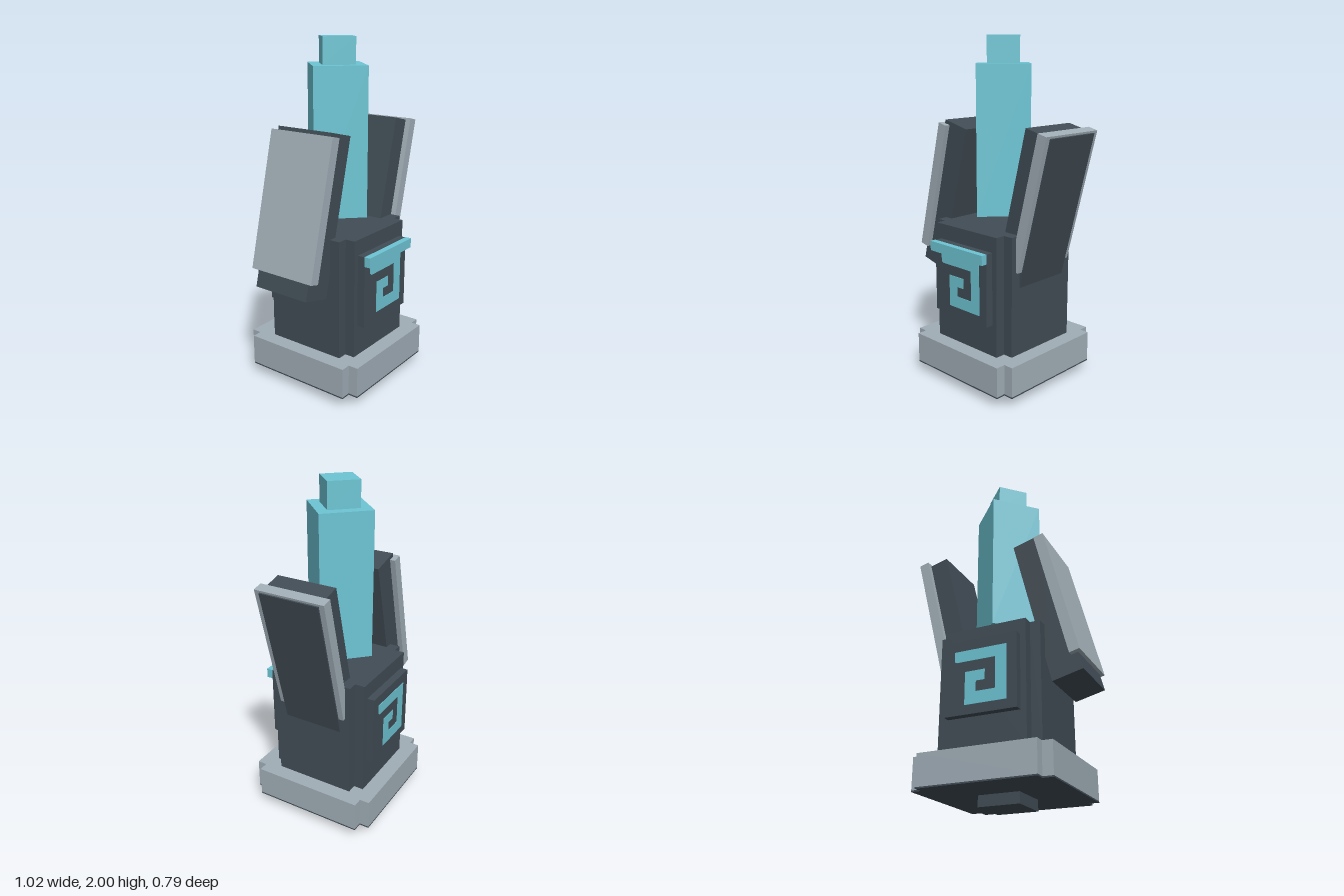
import * as THREE from 'three';

const material = (name, color) => {
  const m = new THREE.MeshStandardMaterial({ color });
  m.name = name;
  return m;
};

export function createModel() {
  const dark = material('dark slate', 0x414c55);
  const grey = material('pale stone', 0xa0adb6);
  const teal = material('teal crystal', 0x6dc5d4);
  const model = new THREE.Group();
  model.name = 'crystalPillar';

  const add = (name, geometry, mat, parent = model) => {
    const mesh = new THREE.Mesh(geometry, mat);
    mesh.name = name;
    parent.add(mesh);
    return mesh;
  };

  const box = (name, w, h, d, x, y, z, mat, parent) => {
    const mesh = add(name, new THREE.BoxGeometry(w, h, d), mat, parent);
    mesh.position.set(x, y, z);
    return mesh;
  };

  // Square block with notched corners, standing from y0 to y1
  const notched = (name, outer, inner, y0, y1, mat) => {
    const quarter = [[outer, -inner], [outer, inner], [inner, inner]];
    const points = [];
    for (let i = 0; i < 4; i++) {
      for (const [x, y] of quarter) {
        points.push(new THREE.Vector2(x, y).rotateAround(new THREE.Vector2(), i * Math.PI / 2));
      }
    }
    const geometry = new THREE.ExtrudeGeometry(new THREE.Shape(points), { depth: y1 - y0, bevelEnabled: false });
    geometry.rotateX(-Math.PI / 2).translate(0, y0, 0);
    return add(name, geometry, mat);
  };

  // Foot, base and body
  box('foot', 0.24, 0.065, 0.24, 0, 0.0325, 0, dark);
  notched('baseUnderside', 0.393, 0.335, 0.062, 0.07, dark);
  notched('base', 0.393, 0.335, 0.07, 0.245, grey);
  notched('body', 0.302, 0.243, 0.245, 0.94, dark);

  // Spiral emblem, one continuous stroke outline
  const spiral = new THREE.Shape([
    [-0.155, 0.79], [0.153, 0.79], [0.153, 0.482], [-0.09, 0.482], [-0.09, 0.667],
    [0.026, 0.667], [0.026, 0.608], [-0.026, 0.608], [-0.026, 0.55], [0.088, 0.55],
    [0.088, 0.727], [-0.145, 0.727], [-0.155, 0.737],
  ].map(([x, y]) => new THREE.Vector2(x, y)));
  const spiralGeometry = new THREE.ExtrudeGeometry(spiral, { depth: 0.004, bevelEnabled: false });

  // Raised plaques on front and back
  for (const side of ['front', 'back']) {
    const plaque = new THREE.Group();
    plaque.name = side + 'Plaque';
    if (side === 'back') plaque.rotation.y = Math.PI;
    box('plaquePanel', 0.42, 0.42, 0.06, 0, 0.64, 0.316, dark, plaque);
    add('spiral', spiralGeometry, teal, plaque).position.z = 0.345;
    model.add(plaque);
  }
  box('frontLedge', 0.424, 0.056, 0.036, 0, 0.823, 0.364, teal);

  // Side slabs, both tilted the same way, each with an outer plate
  const tilt = -14 * Math.PI / 180;
  for (const [name, s] of [['left', 1], ['right', -1]]) {
    box(name + 'Slab', 0.18, 0.906, 0.36, s * 0.315, 1.065, 0, dark).rotation.z = tilt;
    box(name + 'SlabPlate', 0.06, 0.785, 0.424, s * 0.3825, 1.1225, 0, grey).rotation.z = tilt;
  }

  // Floating crystal, turned a quarter-diagonal
  box('crystal', 0.301, 0.85, 0.301, 0, 1.425, 0, teal).rotation.y = Math.PI / 4;
  box('crystalTip', 0.182, 0.15, 0.182, 0, 1.925, 0, teal).rotation.y = Math.PI / 4;

  return model;
}
